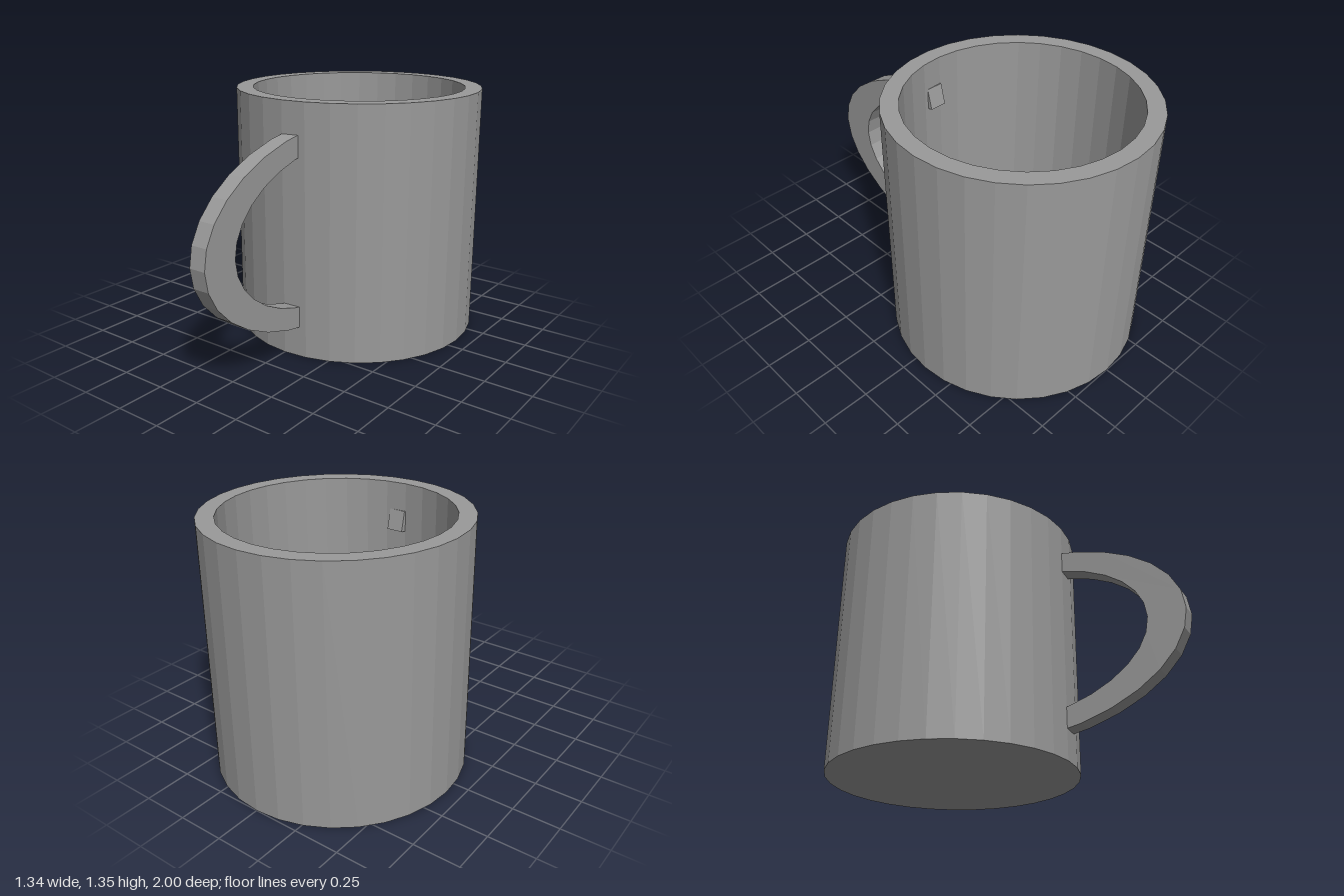
import * as THREE from 'three';

const BODY_Z = -0.33, MID_Y = 0.675;

// Points of an elliptical arc bulging toward the front, in 11.25 degree steps
function arc(centre, depth, height) {
  const points = [];
  for (let k = -7; k <= 7; k++) {
    const a = (k * Math.PI) / 16;
    points.push(new THREE.Vector2(centre + depth * Math.cos(a), MID_Y + height * Math.sin(a)));
  }
  return points;
}

export function createModel() {
  const group = new THREE.Group();
  group.name = 'mug';
  const grey = new THREE.MeshStandardMaterial({ color: 0x999999, flatShading: true });
  grey.name = 'grey';

  // Hollow body: base, outer wall, rim, inner wall, floor
  const profile = [[0, 0], [0.67, 0], [0.67, 1.35], [0.58, 1.35], [0.58, 0.09], [0, 0.09]]
    .map(([r, y]) => new THREE.Vector2(r, y));
  const body = new THREE.Mesh(new THREE.LatheGeometry(profile, 32), grey);
  body.name = 'body';
  body.position.z = BODY_Z;
  group.add(body);

  // Handle: flat crescent in the side plane, its ends poking through the wall
  const outline = [...arc(0.057, 0.943, 0.535), ...arc(0.073, 0.727, 0.424).reverse()];
  const handleGeometry = new THREE.ExtrudeGeometry(new THREE.Shape(outline), { depth: 0.093, bevelEnabled: false });
  handleGeometry.rotateY(-Math.PI / 2);
  handleGeometry.translate(0.093, 0, 0);
  const handle = new THREE.Mesh(handleGeometry, grey);
  handle.name = 'handle';
  group.add(handle);

  return group;
}
